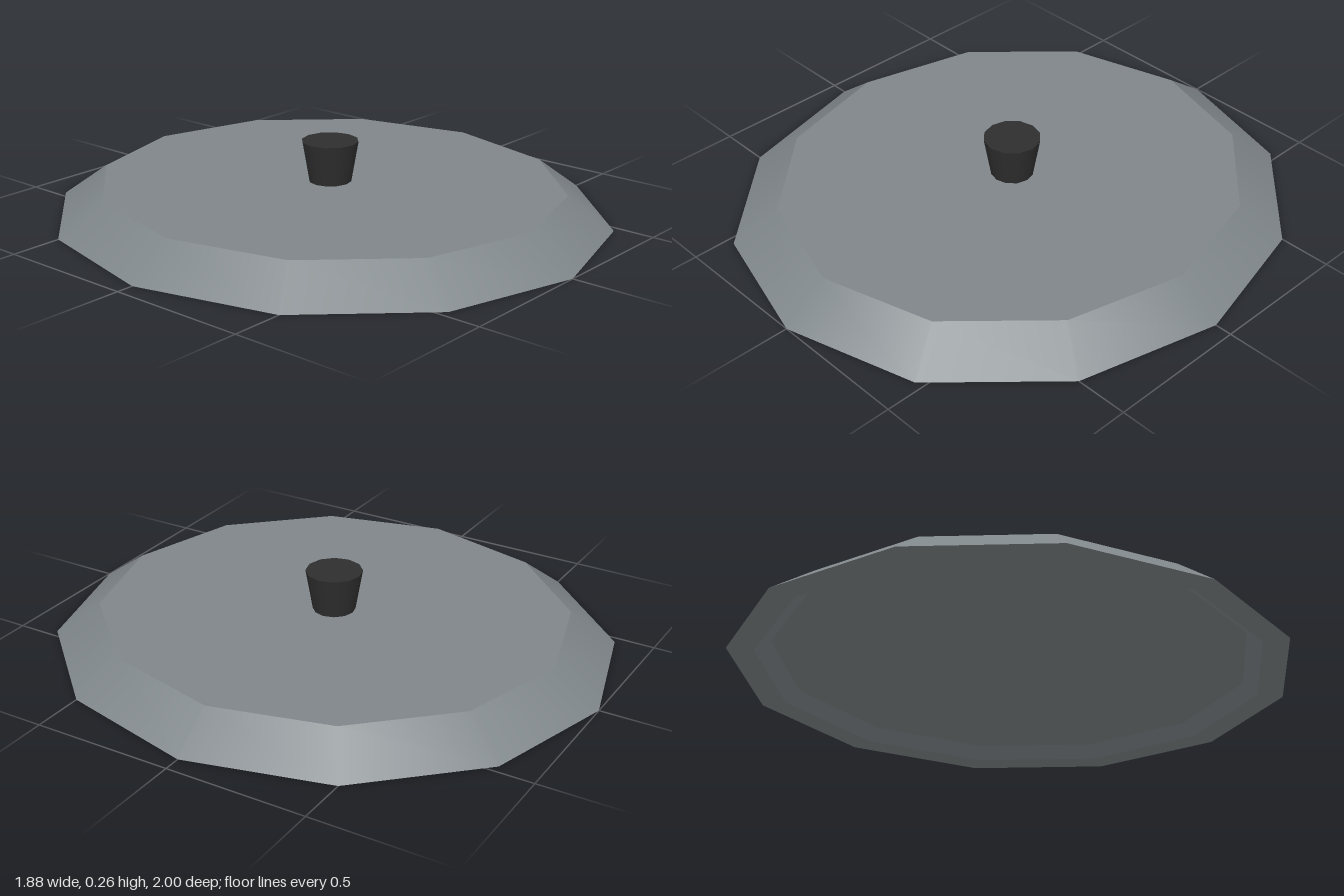
import * as THREE from 'three';

const SIDES = 12;
const WIDTH = 0.94; // the lid is slightly narrower in x than in z

export function createModel() {
  const model = new THREE.Group();
  model.name = 'lid';

  const lidGrey = new THREE.MeshStandardMaterial({ color: 0x7f8689 });
  lidGrey.name = 'lid grey';
  const knobBlack = new THREE.MeshStandardMaterial({ color: 0x2e2e2e });
  knobBlack.name = 'knob black';

  // Lid shell: each band runs from [radius, height] to the next, keeping its edges sharp
  const bands = [
    ['undersidePanel', [0, 0.04], [0.85, 0.04]],
    ['innerWall', [0.85, 0.04], [0.905, 0]],
    ['bottomRim', [0.905, 0], [1, 0]],
    ['outerSlope', [1, 0], [0.838, 0.115]],
    ['topPanel', [0.838, 0.115], [0, 0.115]],
  ];
  for (const [name, from, to] of bands) {
    const profile = [new THREE.Vector2(...from), new THREE.Vector2(...to)];
    const geometry = new THREE.LatheGeometry(profile, SIDES);
    geometry.scale(WIDTH, 1, 1);
    const mesh = new THREE.Mesh(geometry, lidGrey);
    mesh.name = name;
    model.add(mesh);
  }

  // Knob, flaring towards the top
  const knob = new THREE.Mesh(new THREE.CylinderGeometry(0.1, 0.075, 0.145, SIDES), knobBlack);
  knob.name = 'knob';
  knob.position.y = 0.1875;
  model.add(knob);

  return model;
}
